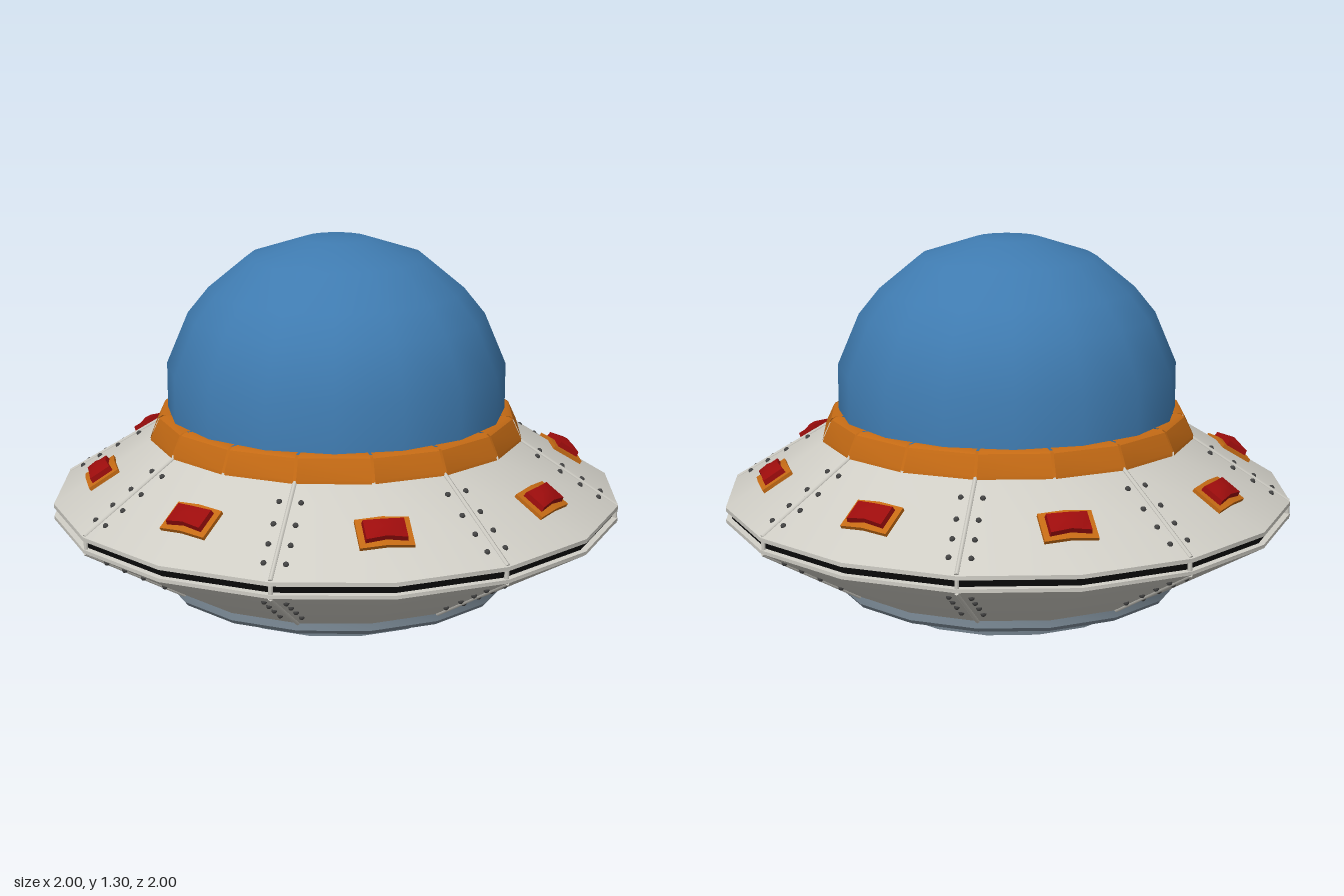
import * as THREE from 'three';
import { toCreasedNormals } from 'three/addons/utils/BufferGeometryUtils.js';

const paint = (color) => new THREE.MeshStandardMaterial({ color });
const white = paint(0xcfcdc5), orange = paint(0xc46a14), red = paint(0x9c0c0c), blue = paint(0x3f7bb0);
const steel = paint(0x7d8c98), dark = paint(0x444444), black = paint(0x080808);
orange.side = THREE.DoubleSide;
const STEP = Math.PI / 8; // hull has 16 sides

function add(parent, name, geometry, material) {
  const mesh = new THREE.Mesh(geometry, material);
  mesh.name = name;
  parent.add(mesh);
  return mesh;
}

// Turned part from [radius, height] pairs, listed bottom to top on the outside
function turned(profile, start = 0, length = Math.PI * 2, sides = 16) {
  const points = profile.map(([r, y]) => new THREE.Vector2(r, y));
  return toCreasedNormals(new THREE.LatheGeometry(points, sides, start, length), 0.55);
}

// Thin round bar between two [radius, height] points in the local yz plane
function bar(parent, name, [r1, y1], [r2, y2]) {
  const a = new THREE.Vector3(0, y1, r1), b = new THREE.Vector3(0, y2, r2);
  const mesh = add(parent, name, new THREE.CylinderGeometry(0.008, 0.008, a.distanceTo(b), 6), white);
  mesh.position.copy(a).lerp(b, 0.5);
  mesh.quaternion.setFromUnitVectors(new THREE.Vector3(0, 1, 0), b.sub(a).normalize());
}

// Slab folded over the hull edge; pinch narrows the middle, bevel shrinks the outer face
function foldedSlab(w, h, d, pinch = 0, bevel = 0) {
  const g = new THREE.BoxGeometry(w, h, d, 4, 2, 1), p = g.attributes.position;
  for (let i = 0; i < p.count; i++) {
    let x = p.getX(i), y = p.getY(i), z = p.getZ(i);
    const mid = 1 - Math.abs(x) / (w / 2);
    y *= 1 - pinch * mid;
    if (z > 0) {
      const edge = Math.max(Math.abs(x) / (w / 2), Math.abs(y) / (h / 2));
      if (edge < 0.6) z += bevel * 0.6;
      x *= 1 - bevel * 5;
      y *= 1 - bevel * 8;
    }
    p.setXYZ(i, x, y, z - Math.abs(x) * 0.11);
  }
  return toCreasedNormals(g, 0.6);
}

export function createModel() {
  const model = new THREE.Group();
  model.name = 'flyingSaucer';

  // Hull shells with a black groove between them
  add(model, 'lowerHull', turned([[0.58, 0.11], [0.62, 0.11], [1, 0.335], [1, 0.347], [0.97, 0.35]]), white);
  add(model, 'upperHull', turned([[0.97, 0.373], [1, 0.376], [1, 0.39], [0.655, 0.605], [0.56, 0.605]]), white);
  add(model, 'rimGroove', turned([[0.98, 0.345], [0.98, 0.379]]), black);

  // Stepped base with a dark opening
  add(model, 'base', turned([[0.385, 0.06], [0.385, 0.01], [0.395, 0], [0.45, 0], [0.462, 0.07],
    [0.61, 0.07], [0.622, 0.085], [0.622, 0.115]]), steel);
  const opening = add(model, 'baseOpening', new THREE.CircleGeometry(0.388, 16), black);
  opening.rotation.x = Math.PI / 2;
  opening.position.y = 0.018;

  // Dome
  add(model, 'dome', turned([[0.594, 0.62], [0.594, 0.85], [0.518, 1.03], [0.445, 1.12], [0.311, 1.23],
    [0.116, 1.294], [0, 1.297]], STEP / 2), blue);

  // Collar of sixteen blocks over a recessed ring
  add(model, 'collarCore', turned([[0.645, 0.6], [0.605, 0.68], [0.57, 0.682]]), orange);
  for (let i = 0; i < 16; i++) {
    const block = [[0.658, 0.605], [0.656, 0.617], [0.626, 0.682], [0.612, 0.69], [0.57, 0.69]];
    add(model, 'collarBlock', turned(block, i * STEP + 0.008, STEP - 0.016, 1), orange);
  }

  // Seams with rows of rivets
  const rivet = new THREE.SphereGeometry(0.01, 8, 6);
  for (let i = 0; i < 8; i++) {
    const seam = new THREE.Group();
    seam.name = 'seam';
    seam.rotation.y = (2 * i + 1) * STEP;
    bar(seam, 'upperSeam', [0.65, 0.608], [0.994, 0.392]);
    bar(seam, 'rimSeam', [0.99, 0.392], [0.99, 0.334]);
    bar(seam, 'lowerSeam', [0.994, 0.334], [0.622, 0.112]);
    for (const side of [-1, 1]) {
      for (const r of [0.94, 0.875, 0.805, 0.725]) {
        const upper = add(seam, 'rivet', rivet, dark);
        upper.position.set(side * 0.036, 0.39 + (1 - r) * 0.623, r - 0.007);
        const lower = add(seam, 'rivet', rivet, dark);
        lower.position.set(side * 0.036, 0.335 - (1 - r) * 0.592, r - 0.007);
      }
    }
    model.add(seam);
  }

  // Framed red lights between the seams
  const frame = foldedSlab(0.178, 0.118, 0.026);
  const lens = foldedSlab(0.146, 0.09, 0.05, 0.12, 0.016);
  for (let i = 0; i < 8; i++) {
    const spoke = new THREE.Group();
    spoke.name = 'lightSpoke';
    spoke.rotation.y = 2 * i * STEP;
    const light = new THREE.Group();
    light.name = 'light';
    light.position.set(0, 0.496, 0.83);
    light.rotation.x = -1.014;
    add(light, 'lightFrame', frame, orange);
    add(light, 'lightLens', lens, red).position.z = 0.006;
    spoke.add(light);
    model.add(spoke);
  }
  return model;
}
